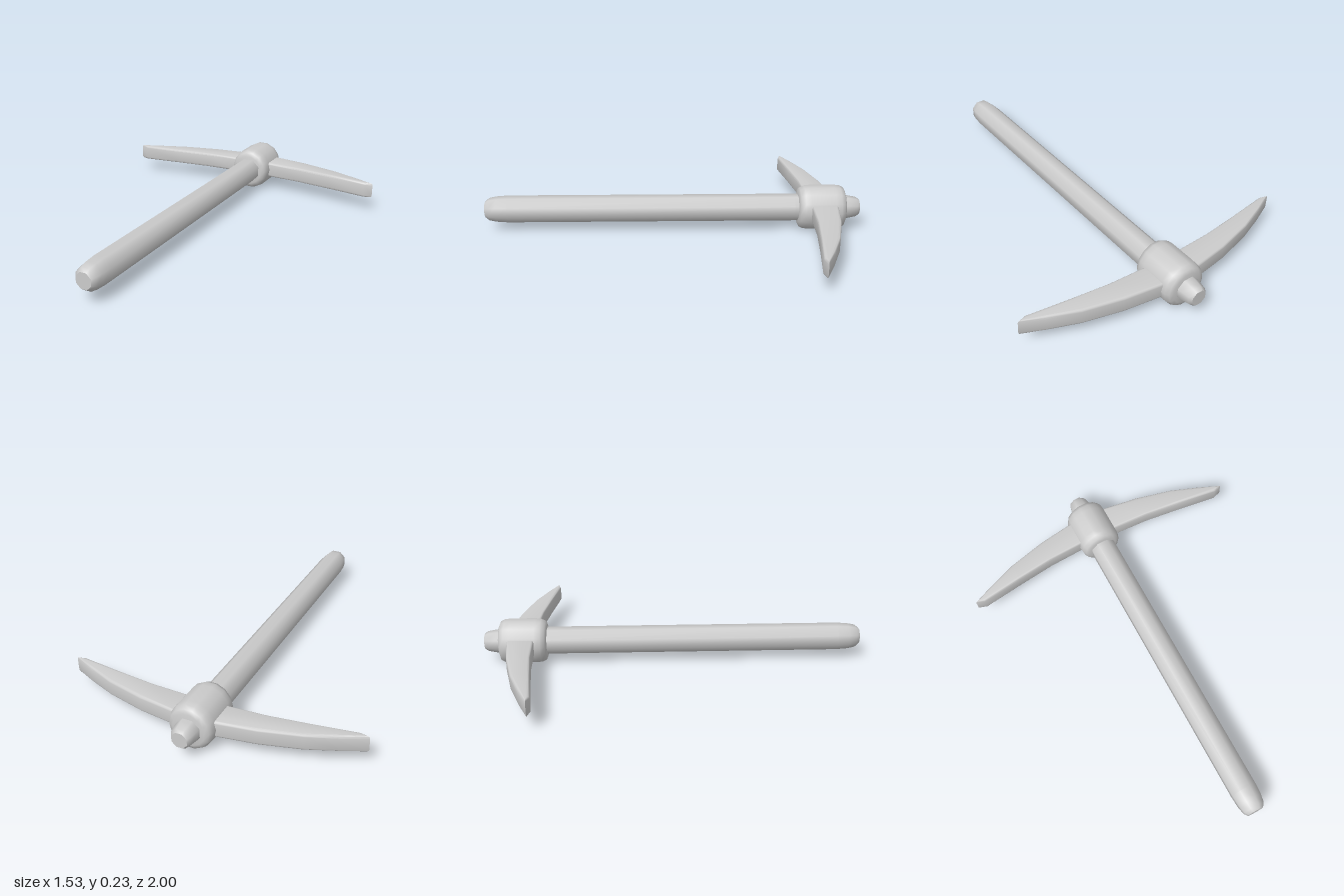
import * as THREE from 'three';
import { toCreasedNormals } from 'three/addons/utils/BufferGeometryUtils.js';

const AXIS_Y = 0.122;
const material = new THREE.MeshStandardMaterial({ color: 0xcccccc });

function addPart(group, name, geometry, crease) {
  const mesh = new THREE.Mesh(toCreasedNormals(geometry, crease), material);
  mesh.name = name;
  mesh.position.y = AXIS_Y;
  group.add(mesh);
  return mesh;
}

// Revolves a [radius, z] profile around the handle axis
function turned(profile, sides, start) {
  const points = profile.map(([r, z]) => new THREE.Vector2(r, z));
  return new THREE.LatheGeometry(points, sides, start).rotateX(Math.PI / 2);
}

export function createModel() {
  const group = new THREE.Group();
  group.name = 'pickaxe';

  // Octagonal handle with rounded ends
  addPart(group, 'handle', turned([
    [0, -1], [0.042, -1], [0.053, -0.983], [0.061, -0.94], [0.066, -0.88],
    [0.072, -0.65], [0.072, 0.88], [0.068, 0.94], [0.06, 0.98], [0.044, 1], [0, 1],
  ], 8, Math.PI / 8), 0.9);

  // Collar that holds the head on the handle
  const collar = addPart(group, 'collar', turned([
    [0, -0.92], [0.085, -0.92], [0.106, -0.912], [0.117, -0.89], [0.12, -0.86],
    [0.12, -0.73], [0.117, -0.7], [0.106, -0.678], [0.085, -0.67], [0, -0.67],
  ], 14, Math.PI / 14), 0.9);
  collar.scale.x = 0.95;

  // Curved two-pointed head, a bevelled crescent
  const outer = [[0, 0.88], [0.11, 0.87], [0.3, 0.842], [0.5, 0.792], [0.65, 0.735], [0.765, 0.683]];
  const inner = [[0.72, 0.668], [0.5, 0.698], [0.3, 0.722], [0.11, 0.731], [0, 0.733]];
  const half = [...outer, ...inner];
  const mirrored = half.slice(1, -1).reverse().map(([x, y]) => [-x, y]);
  const outline = [...half, ...mirrored].map(([x, y]) => new THREE.Vector2(x, y));
  const bevel = 0.012;
  const head = new THREE.ExtrudeGeometry(new THREE.Shape(outline), {
    depth: 0.086 - 2 * bevel,
    bevelThickness: bevel,
    bevelSize: bevel,
    bevelOffset: -bevel,
    bevelSegments: 3,
  });
  head.translate(0, 0, bevel - 0.043).rotateX(-Math.PI / 2);
  addPart(group, 'pickHead', head, 0.7);

  return group;
}
